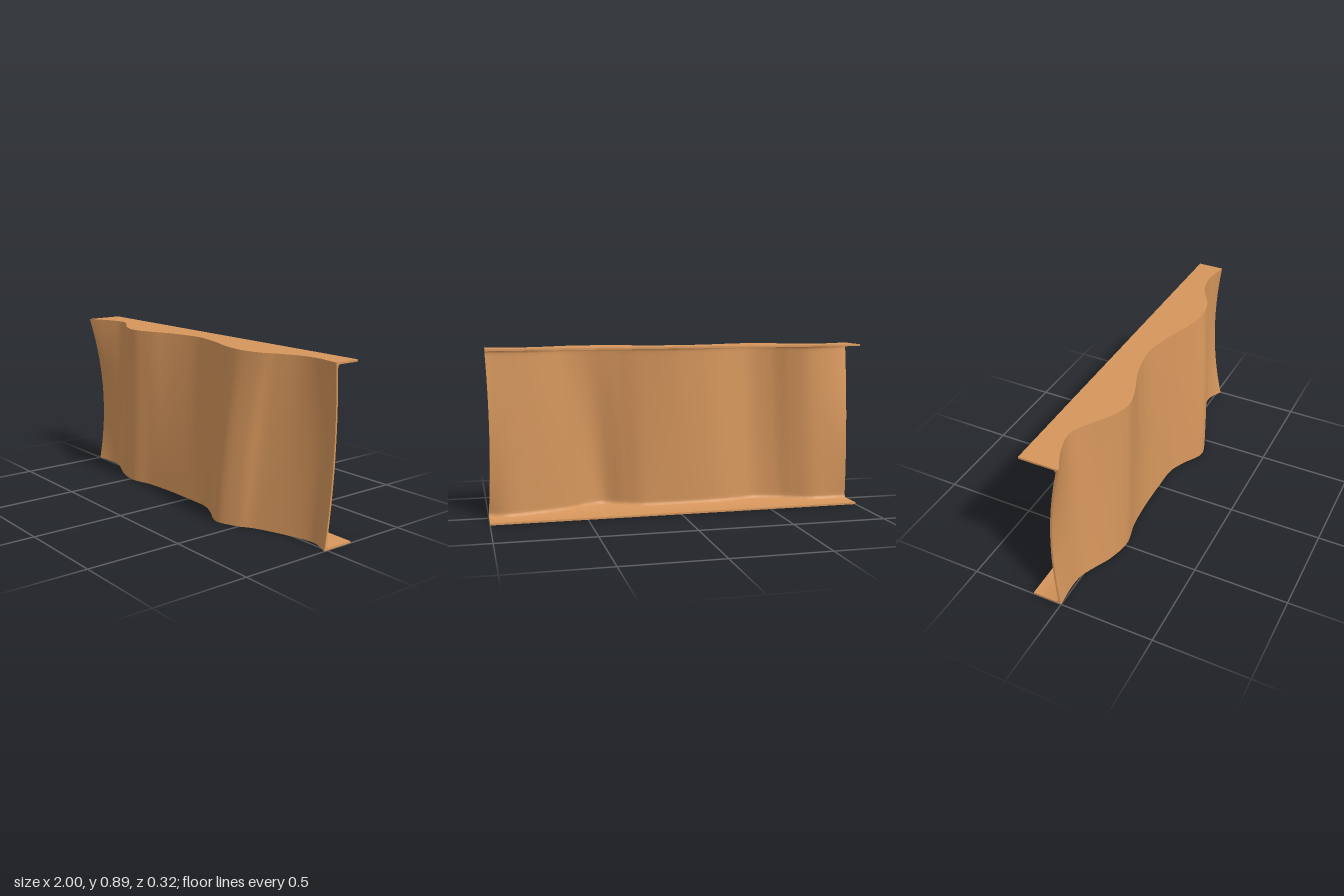
import * as THREE from 'three';
import { toCreasedNormals } from 'three/addons/utils/BufferGeometryUtils.js';

const HEIGHT = 0.89, THICK = 0.01, BACK = -0.157;
const STATIONS = 128, ROWS = 32;

// Matching features of the wavy edge: [x, z] at the bottom, [x, z] at the top, extra z at mid height
const WAVE = [
  [-1, 0, -1, 0.05, -0.05],
  [-0.88, -0.01, -0.88, -0.01, -0.015],
  [-0.79, -0.003, -0.76, -0.036, 0],
  [-0.70, 0.035, -0.66, 0.005, 0],
  [-0.61, 0.075, -0.57, 0.065, 0],
  [-0.48, 0.1, -0.45, 0.105, 0],
  [-0.34, 0.07, -0.33, 0.08, 0],
  [-0.18, 0.057, -0.18, 0.022, 0],
  [0, 0.055, 0, -0.01, 0],
  [0.15, 0.06, 0.18, 0.022, 0],
  [0.25, 0.1, 0.32, 0.068, 0.005],
  [0.37, 0.16, 0.46, 0.09, 0.015],
  [0.49, 0.125, 0.58, 0.07, 0.01],
  [0.57, 0.075, 0.66, 0.025, 0],
  [0.73, 0.015, 0.76, -0.02, 0],
  [0.89, -0.02, 0.87, -0.035, -0.005],
  [1, 0.02, 1, -0.015, -0.038],
];

// Smooth horizontal curve of the wall at a given height
function waveAt(y) {
  const t = y / HEIGHT, bulge = 4 * t * (1 - t);
  return new THREE.CatmullRomCurve3(WAVE.map(([x0, z0, x1, z1, dz]) => new THREE.Vector3(
    THREE.MathUtils.lerp(x0, x1, t) * (1 - 0.013 * bulge), y,
    THREE.MathUtils.lerp(z0, z1, t) + dz * bulge)), false, 'catmullrom', 0.5);
}

// C-shaped section swept along x: wavy wall with a flange along the top and bottom
function channelGeometry() {
  const frontY = [], backY = [];
  for (let j = 0; j < ROWS; j++) {
    const s = (1 - Math.cos(Math.PI * j / (ROWS - 1))) / 2; // rows crowd towards the flanges
    frontY.push(s * HEIGHT);
    backY.push(THICK + s * (HEIGHT - 2 * THICK));
  }
  const frontCurves = frontY.map(waveAt), backCurves = backY.map(waveAt);

  const frontPoint = (j, u) => frontCurves[j].getPoint(u);
  const backPoint = (j, u) => {
    const p = backCurves[j].getPoint(u), d = backCurves[j].getTangent(u);
    const gap = Math.min(backY[j] - THICK, HEIGHT - THICK - backY[j]);
    const fillet = 0.012 * Math.max(0, 1 - gap / 0.015) ** 2;
    p.z -= THICK / Math.max(0.6, Math.abs(d.x)) + fillet;
    return p;
  };
  const rim = (p, y) => new THREE.Vector3(p.x, y, BACK);

  const positions = [], index = [], n = 2 * ROWS + 4;
  for (let i = 0; i <= STATIONS; i++) {
    const u = i / STATIONS;
    const front = frontY.map((_, j) => frontPoint(j, u));
    const back = backY.map((_, j) => backPoint(j, u)).reverse();
    const low = front[0], high = front[ROWS - 1];
    const loop = [rim(low, 0), ...front, rim(high, HEIGHT),
      rim(high, HEIGHT - THICK), ...back, rim(low, THICK)];
    for (const p of loop) positions.push(p.x, p.y, p.z);
  }
  for (let i = 0; i < STATIONS; i++) {
    for (let k = 0; k < n; k++) {
      const a = i * n + k, b = i * n + (k + 1) % n;
      index.push(a, a + n, b + n, a, b + n, b);
    }
  }
  // End caps pair the outer half of the loop with the inner half
  const last = STATIONS * n;
  for (let k = 0; k < n / 2 - 1; k++) {
    const a = k, b = n - 1 - k, c = n - 2 - k, d = k + 1;
    index.push(last + a, last + b, last + c, last + a, last + c, last + d);
    index.push(a, c, b, a, d, c);
  }

  const geometry = new THREE.BufferGeometry();
  geometry.setAttribute('position', new THREE.Float32BufferAttribute(positions, 3));
  geometry.setIndex(index);
  return toCreasedNormals(geometry, 0.7);
}

export function createModel() {
  const group = new THREE.Group();
  group.name = 'wavyChannelPanel';
  const copper = new THREE.MeshStandardMaterial({ color: 0xd6965c });
  copper.name = 'copper';
  const panel = new THREE.Mesh(channelGeometry(), copper);
  panel.name = 'flangedWavyWall';
  group.add(panel);
  return group;
}
